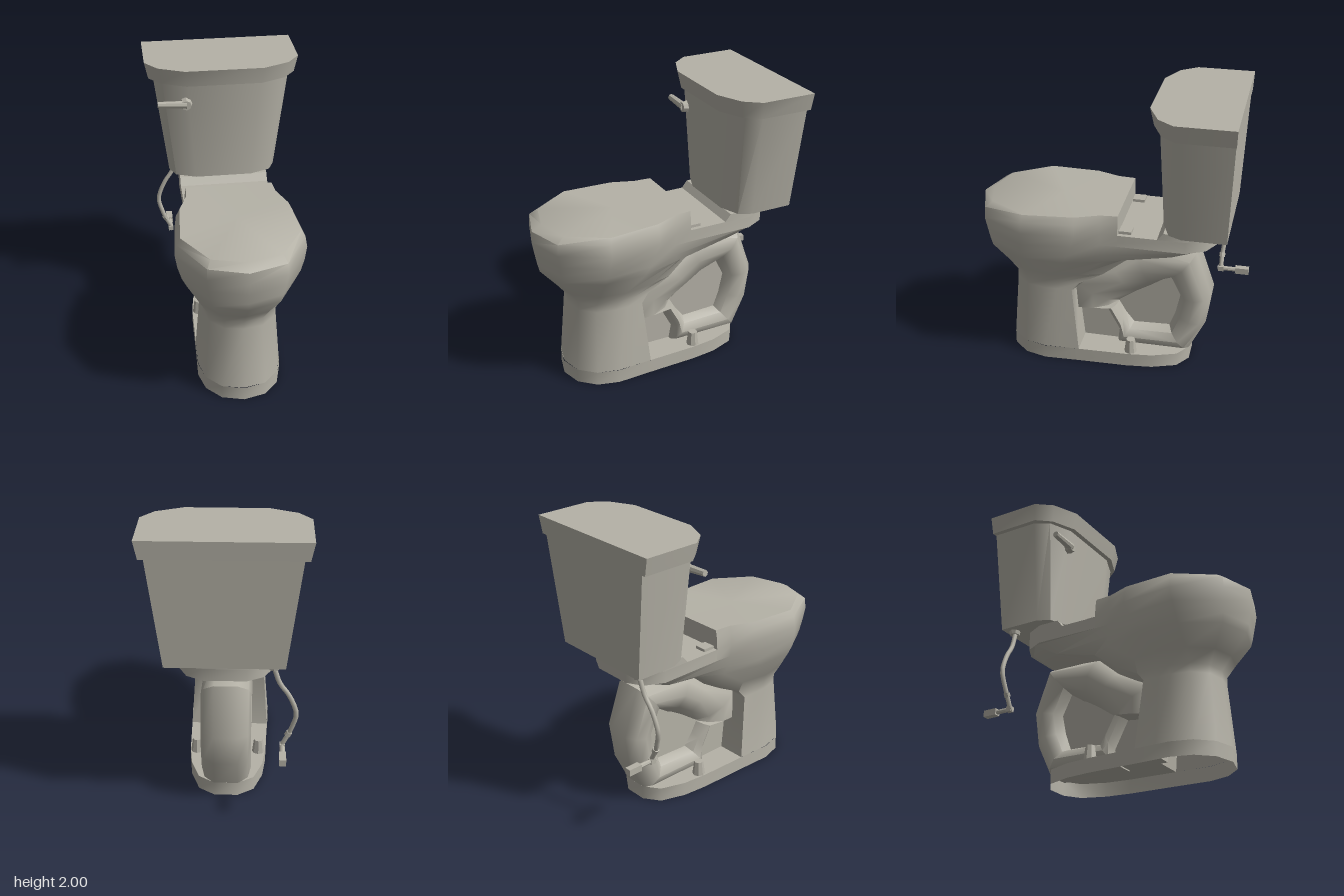
import * as THREE from 'three';
import { toCreasedNormals, mergeGeometries } from 'three/addons/utils/BufferGeometryUtils.js';

const porcelain = new THREE.MeshStandardMaterial({ color: 0xb5b2a7, side: THREE.DoubleSide });
porcelain.name = 'porcelain';

// Mirror a half outline of [x, z] points (front to back) into a full ring at height y
function ring(y, half) {
  const left = half.map(([x, z]) => new THREE.Vector3(x, y, z));
  const right = half.filter(([x]) => x > 0).reverse().map(([x, z]) => new THREE.Vector3(-x, y, z));
  return [...left, ...right];
}

// Skin a list of rings; optional caps, or joined end to end as a loop
function skin(rings, { bottom = false, top = false, loop = false } = {}) {
  const pos = [];
  const tri = (...pts) => pts.forEach((p) => pos.push(p.x, p.y, p.z));
  const n = rings[0].length;
  const spans = loop ? rings.length : rings.length - 1;
  for (let i = 0; i < spans; i++) {
    const a = rings[i], b = rings[(i + 1) % rings.length];
    for (let j = 0; j < n; j++) {
      const k = (j + 1) % n;
      tri(a[j], a[k], b[k]);
      tri(a[j], b[k], b[j]);
    }
  }
  const cap = (r, up) => {
    const c = new THREE.Vector3();
    r.forEach((p) => c.addScaledVector(p, 1 / n));
    r.forEach((p, j) => (up ? tri(c, p, r[(j + 1) % n]) : tri(c, r[(j + 1) % n], p)));
  };
  if (bottom) cap(rings[0], false);
  if (top) cap(rings[rings.length - 1], true);
  const g = new THREE.BufferGeometry();
  g.setAttribute('position', new THREE.Float32BufferAttribute(pos, 3));
  return g;
}

export function createModel() {
  const model = new THREE.Group();
  const add = (name, geo, x = 0, y = 0, z = 0) => {
    const m = new THREE.Mesh(geo, porcelain);
    m.name = name;
    m.position.set(x, y, z);
    model.add(m);
    return m;
  };
  const smooth = (g, angle = 0.7) => toCreasedNormals(g, angle);

  // Hollow foot: open-bottomed wall with a flat ledge behind the pedestal
  const foot = [[0, 0.75], [0.15, 0.71], [0.25, 0.6], [0.29, 0.45], [0.28, 0.2],
    [0.27, -0.15], [0.25, -0.33], [0.19, -0.5], [0.08, -0.575]];
  add('footWall', smooth(skin([ring(0, foot), ring(0.1, foot)])));
  const ledge = ring(0.1, foot.slice(4)).map((p) => new THREE.Vector2(p.x, -p.z));
  add('footLedge', new THREE.ShapeGeometry(new THREE.Shape(ledge)).rotateX(-Math.PI / 2), 0, 0.1, 0);

  // Pedestal flaring into the bowl
  const rim = [[0, 0.92], [0.25, 0.84], [0.42, 0.56], [0.39, 0.22], [0.32, 0.03]];
  const lower = skin([
    ring(0.1, [[0, 0.745], [0.15, 0.71], [0.25, 0.6], [0.287, 0.45], [0.285, 0.35], [0.28, 0.2], [0.1, 0.2]]),
    ring(0.57, [[0, 0.7], [0.13, 0.675], [0.22, 0.58], [0.25, 0.45], [0.25, 0.36], [0.25, 0.25], [0.1, 0.25]]),
    ring(0.63, [[0, 0.7], [0.13, 0.675], [0.225, 0.58], [0.255, 0.44], [0.25, 0.33], [0.24, 0.2], [0.1, 0.13]]),
    ring(0.72, [[0, 0.77], [0.16, 0.73], [0.28, 0.58], [0.31, 0.4], [0.28, 0.2], [0.23, 0.03], [0.1, -0.02]]),
    ring(0.86, [[0, 0.89], [0.22, 0.82], [0.365, 0.57], [0.37, 0.28], [0.29, 0], [0.2, -0.16], [0.1, -0.18]]),
    ring(0.92, [[0, 0.905], [0.235, 0.83], [0.395, 0.57], [0.385, 0.25], [0.31, 0.02], [0.24, -0.45], [0.1, -0.6]]),
    ring(1.0, [...rim, [0.29, -0.6], [0.14, -0.72]]),
  ]);
  // Closed seat top, cut off straight at the back
  const topRing = ring(1.22, [[0, 0.86], [0.23, 0.8], [0.395, 0.54], [0.37, 0.19], [0.31, 0.03], [0.3, -0.09]]);
  topRing.forEach((p) => { p.y = 1.223 - 0.018 * Math.max(0, p.z); });
  const upper = skin([
    ring(1.0, [...rim, [0.315, -0.09]]),
    ring(1.09, [[0, 0.935], [0.26, 0.855], [0.435, 0.55], [0.405, 0.19], [0.33, 0.03], [0.315, -0.09]]),
    ring(1.17, [[0, 0.93], [0.255, 0.85], [0.42, 0.55], [0.395, 0.19], [0.325, 0.03], [0.31, -0.09]]),
    topRing,
  ], { top: true });
  add('bowl', smooth(mergeGeometries([lower, upper]), 0.9));

  // Deck under the tank with a raised rear step
  const rear = [[0.315, -0.55], [0.25, -0.68], [0.14, -0.74]];
  add('deck', smooth(skin([ring(1.0, [[0.315, 0.12], ...rear]), ring(1.085, [[0.315, 0.12], ...rear])],
    { bottom: true, top: true })));
  add('deckStep', smooth(skin([ring(1.08, [[0.315, -0.355], ...rear]), ring(1.135, [[0.315, -0.4], ...rear])],
    { top: true }), 0.5));

  // Trapway: a rounded loop, given as inner and outer [z, y] pairs
  const pairs = [
    [-0.06, 0.42, 0.3, 0.36], [-0.06, 0.42, 0.3, 0.6], [-0.2, 0.52, 0, 0.74], [-0.3, 0.58, -0.18, 0.88],
    [-0.42, 0.66, -0.6, 0.88], [-0.49, 0.52, -0.715, 0.55], [-0.46, 0.38, -0.685, 0.33],
    [-0.42, 0.27, -0.57, 0.09], [-0.17, 0.26, -0.05, 0.09], [-0.1, 0.35, -0.07, 0.2], [-0.06, 0.42, 0.03, 0.39],
  ];
  const section = [[0, 0.06], [0.2, 0.135], [0.5, 0.17], [0.8, 0.15], [1, 0.08]];
  const loops = pairs.map(([iz, iy, oz, oy]) => {
    const at = ([t, x], s) => new THREE.Vector3(s * x, iy + (oy - iy) * t, iz + (oz - iz) * t);
    return [...section.map((q) => at(q, 1)), ...section.map((q) => at(q, -1)).reverse()];
  }).reverse();
  add('trapway', smooth(skin(loops, { loop: true }), 0.9));

  // Recessed web filling the trapway opening and the gap to the pedestal
  const web = [[0.25, 0.1], [0.25, 0.5], [-0.42, 0.7], [-0.53, 0.52], [-0.45, 0.2], [-0.1, 0.1]];
  const webGeo = new THREE.ExtrudeGeometry(new THREE.Shape(web.map(([z, y]) => new THREE.Vector2(-z, y))),
    { depth: 0.14, bevelEnabled: false });
  add('web', webGeo.translate(0, 0, -0.07).rotateY(Math.PI / 2));

  // Floor bolt caps and seat hinge pads on both sides
  for (const s of [-1, 1]) {
    add('boltCap', smooth(new THREE.CylinderGeometry(0.032, 0.045, 0.1, 8)), s * 0.22, 0.15, -0.17);
    add('hingePad', new THREE.BoxGeometry(0.085, 0.02, 0.085), s * 0.243, 1.095, -0.137);
  }

  // Tank and lid
  add('tank', smooth(skin([
    ring(1.14, [[0.2, -0.385], [0.34, -0.44], [0.383, -0.53], [0.383, -0.83]]),
    ring(1.89, [[0.25, -0.35], [0.42, -0.42], [0.478, -0.52], [0.478, -0.86]]),
  ], { bottom: true, top: true })));
  add('tankLid', smooth(skin([
    ring(1.88, [[0.26, -0.315], [0.43, -0.39], [0.51, -0.49], [0.51, -0.865]]),
    ring(2.0, [[0.27, -0.29], [0.45, -0.37], [0.535, -0.48], [0.535, -0.87]]),
  ], { bottom: true, top: true })));

  // Flush lever
  const lever = add('flushLever', smooth(new THREE.CylinderGeometry(0.022, 0.029, 0.2, 8)), -0.36, 1.74, -0.34);
  lever.rotation.z = Math.PI / 2 - 0.05;
  const knob = add('leverKnob', smooth(new THREE.CylinderGeometry(0.035, 0.045, 0.045, 8)), -0.262, 1.735, -0.345);
  knob.rotation.x = Math.PI / 2;

  // Water supply: tank nut, bent hose, valve and wall pipe
  const path = [[-0.31, 1.12, -0.765], [-0.35, 1.0, -0.758], [-0.41, 0.91, -0.752], [-0.46, 0.77, -0.745],
    [-0.44, 0.68, -0.737], [-0.415, 0.61, -0.73], [-0.375, 0.53, -0.73]].map((p) => new THREE.Vector3(...p));
  add('supplyHose', new THREE.TubeGeometry(new THREE.CatmullRomCurve3(path), 16, 0.016, 8));
  add('tankNut', smooth(new THREE.CylinderGeometry(0.04, 0.035, 0.03, 8)), -0.31, 1.127, -0.77);
  const nut = add('hoseNut', smooth(new THREE.CylinderGeometry(0.022, 0.022, 0.03, 8)), -0.412, 0.608, -0.73);
  nut.rotation.z = 0.5;
  const pipe = add('wallPipe', smooth(new THREE.CylinderGeometry(0.017, 0.017, 0.15, 8)), -0.375, 0.515, -0.78);
  pipe.rotation.x = Math.PI / 2;
  add('valveHandle', new THREE.BoxGeometry(0.046, 0.046, 0.1), -0.375, 0.515, -0.885);
  add('valveBody', new THREE.BoxGeometry(0.036, 0.036, 0.04), -0.375, 0.515, -0.73);

  return model;
}
